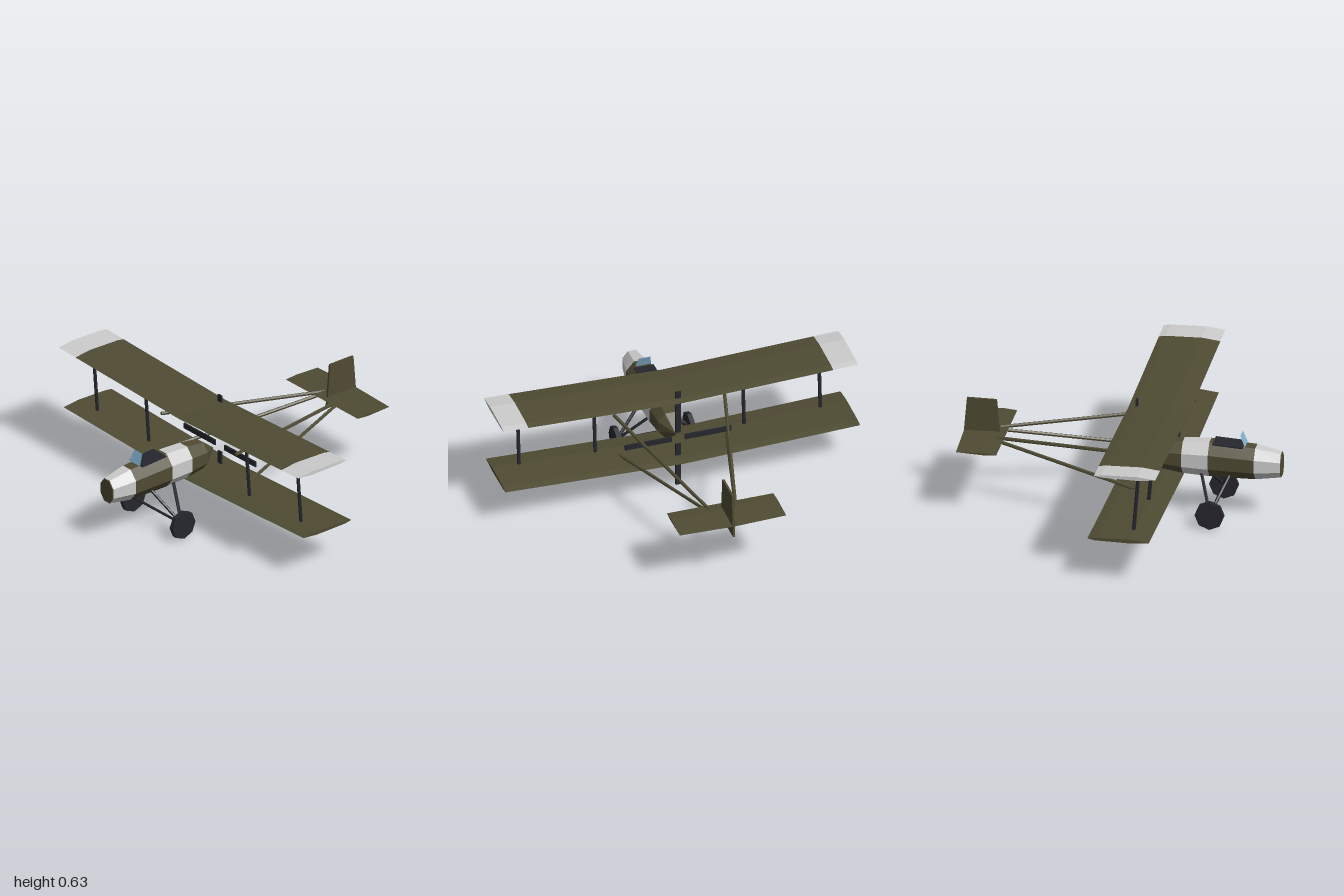
import * as THREE from 'three';

const mat = (color) => new THREE.MeshStandardMaterial({ color, flatShading: true, side: THREE.DoubleSide });
const V = (x, y, z) => new THREE.Vector3(x, y, z);

// Skin a run of equal-length rings and cap both ends.
// Rings run counter-clockwise seen from the end they advance towards.
function loft(rings) {
  const pos = [];
  const tri = (...pts) => pts.forEach((p) => pos.push(p.x, p.y, p.z));
  const n = rings[0].length;
  for (let r = 0; r < rings.length - 1; r++) {
    const a = rings[r], b = rings[r + 1];
    for (let i = 0; i < n; i++) {
      const j = (i + 1) % n;
      tri(a[i], a[j], b[j]);
      tri(a[i], b[j], b[i]);
    }
  }
  const first = rings[0], last = rings[rings.length - 1];
  for (let i = 1; i < n - 1; i++) {
    tri(first[0], first[i + 1], first[i]);
    tri(last[0], last[i], last[i + 1]);
  }
  const g = new THREE.BufferGeometry();
  g.setAttribute('position', new THREE.Float32BufferAttribute(pos, 3));
  g.computeVertexNormals();
  return g;
}

export function createModel() {
  const model = new THREE.Group();
  const olive = mat(0x4f4b33), grey = mat(0xcccccc), dark = mat(0x26262e), glass = mat(0x86b4d4);

  const add = (name, geo, material, parent = model) => {
    const m = new THREE.Mesh(geo, material);
    m.name = name;
    parent.add(m);
    return m;
  };

  // Round bar between two points
  const bar = (name, a, b, r, material, sides = 6) => {
    const m = add(name, new THREE.CylinderGeometry(r, r, a.distanceTo(b), sides), material);
    m.position.copy(a).add(b).multiplyScalar(0.5);
    m.quaternion.setFromUnitVectors(V(0, 1, 0), b.clone().sub(a).normalize());
    return m;
  };

  // Wings: thin six-point section with a slight dihedral
  const section = [[0.007, 0.04], [0.012, 0.235], [0, 0.335], [-0.01, 0.235], [-0.007, 0.04], [0, 0]];
  const wing = (name, y, z, xs, material) =>
    add(name, loft(xs.map((x) => section.map(([h, d]) => V(x, y + Math.abs(x) * 0.034 + h, z + d)))), material);
  wing('upperWing', 0.588, 0.035, [-0.86, 0, 0.86], olive);
  wing('upperRightWingTip', 0.588, 0.035, [-1, -0.86], grey);
  wing('upperLeftWingTip', 0.588, 0.035, [0.86, 1], grey);
  wing('lowerWing', 0.217, 0, [-1, 0, 1], olive);

  // Fuselage: octagonal rings given as [z, centre height, half width, half height]
  const stations = [
    [0.13, 0.335, 0.003, 0.003], [0.22, 0.329, 0.066, 0.077], [0.335, 0.328, 0.077, 0.092],
    [0.48, 0.328, 0.08, 0.098], [0.73, 0.322, 0.077, 0.09], [0.868, 0.318, 0.053, 0.068], [0.872, 0.318, 0.05, 0.064],
  ];
  const ring = ([z, cy, w, h]) => Array.from({ length: 8 }, (_, i) => {
    const a = (i + 0.5) * Math.PI / 4, k = 1 / Math.cos(Math.PI / 8);
    return V(Math.cos(a) * w * k, cy + Math.sin(a) * h * k, z);
  });
  const bands = [['tailCone', olive], ['rearBand', olive], ['greyBand', grey],
    ['cockpitBand', olive], ['noseBand', grey], ['noseFace', olive]];
  bands.forEach(([name, material], i) =>
    add(name, loft([ring(stations[i]), ring(stations[i + 1])]), material));

  // Cockpit opening, following the slope of the fuselage top
  const cockpit = add('cockpit', new THREE.BoxGeometry(0.11, 0.006, 0.165), dark);
  cockpit.position.set(0, 0.42, 0.582);
  cockpit.rotation.x = 0.055;

  // Windshield: thin sheet, narrower at the top and leaning back
  const shield = new THREE.PlaneGeometry(1, 1);
  const sp = shield.attributes.position;
  for (let i = 0; i < sp.count; i++) {
    const top = sp.getY(i) > 0;
    sp.setXYZ(i, Math.sign(sp.getX(i)) * (top ? 0.034 : 0.044), top ? 0.482 : 0.418, top ? 0.65 : 0.675);
  }
  shield.computeVertexNormals();
  add('windshield', shield, glass);

  // Four-blade pusher propeller behind the fuselage
  const propeller = new THREE.Group();
  propeller.name = 'propeller';
  propeller.position.set(0, 0.335, 0.08);
  for (let i = 0; i < 4; i++) {
    const a = i * Math.PI / 2;
    const blade = add('propellerBlade', new THREE.BoxGeometry(0.03, 0.262, 0.01), dark, propeller);
    blade.position.set(-Math.sin(a) * 0.169, Math.cos(a) * 0.169, 0);
    blade.rotation.z = a;
  }
  model.add(propeller);

  for (const s of [-1, 1]) {
    const side = s > 0 ? 'left' : 'right';
    // Struts between the wings
    for (const x of [0.42, 0.85]) {
      const rise = x * 0.034;
      bar(side + 'WingStrut', V(s * x, 0.217 + rise, 0.224), V(s * x, 0.588 + rise, 0.253), 0.01, dark);
    }
    // Tail booms
    const tail = V(s * 0.055, 0.37, -0.74);
    bar(side + 'UpperBoom', V(s * 0.312, 0.45, 0.23), tail, 0.01, olive);
    bar(side + 'LowerBoom', V(s * 0.312, 0.228, 0.2), tail, 0.01, olive);
    // Landing gear
    const hub = V(s * 0.2, 0.083, 0.515);
    for (const z of [0.44, 0.592])
      bar(side + 'GearStrut', V(s * 0.042, 0.245, z), hub, 0.009, dark);
    const wheel = add(side + 'Wheel', new THREE.CylinderGeometry(0.08, 0.08, 0.026, 8), dark);
    wheel.rotation.z = Math.PI / 2;
    wheel.position.set(s * 0.208, 0.08, 0.515);
  }
  bar('axle', V(-0.2, 0.083, 0.515), V(0.2, 0.083, 0.515), 0.007, dark);

  // Tailplane with a slightly pointed trailing edge
  const tailRing = (x, back) => [V(x, 0.382, -0.7), V(x, 0.376, -0.63), V(x, 0.37, -0.7), V(x, 0.376, back)];
  add('tailplane', loft([tailRing(-0.3, -0.85), tailRing(0, -0.862), tailRing(0.3, -0.85)]), olive);

  // Tapered fin, drawn in the side plane and given a small thickness
  const fin = new THREE.Shape([[0.66, 0.313], [0.868, 0.313], [0.846, 0.567], [0.684, 0.567]]
    .map(([d, y]) => new THREE.Vector2(d, y)));
  const finGeo = new THREE.ExtrudeGeometry(fin, { depth: 0.012, bevelEnabled: false });
  finGeo.translate(0, 0, -0.006).rotateY(Math.PI / 2);
  add('tailFin', finGeo, olive);

  return model;
}
